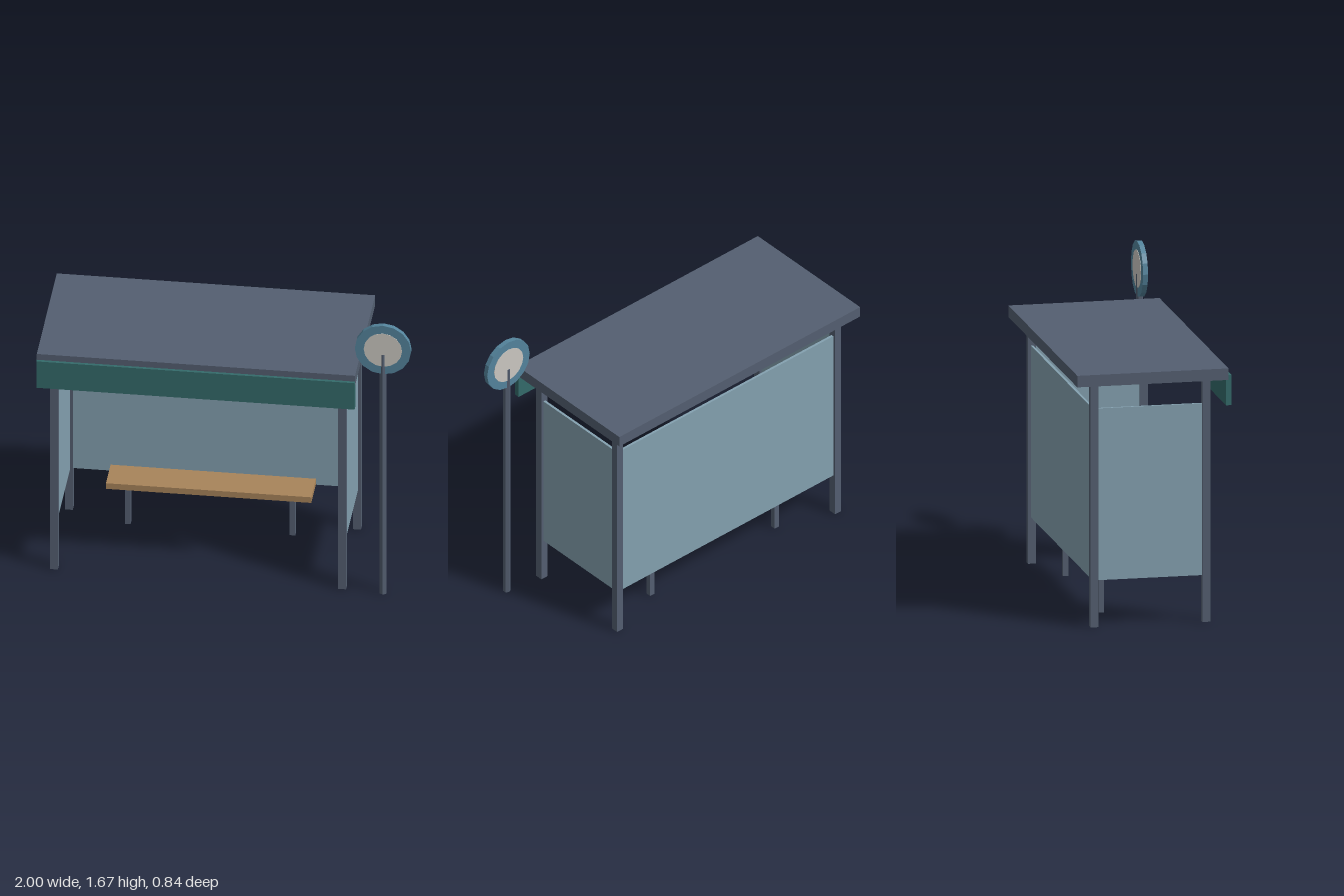
import * as THREE from 'three';

const material = (name, color) => {
  const m = new THREE.MeshStandardMaterial({ color });
  m.name = name;
  return m;
};

export function createModel() {
  const metal = material('slate metal', 0x545f71);
  const glass = material('pale blue panel', 0x84a1b0);
  const green = material('dark green', 0x346a6a);
  const wood = material('bench wood', 0xa8845a);
  const blue = material('sign blue', 0x54849c);
  const grey = material('sign grey', 0xcbc8c2);

  const model = new THREE.Group();
  model.name = 'busShelter';

  const add = (name, geometry, mat, x, y, z) => {
    const mesh = new THREE.Mesh(geometry, mat);
    mesh.name = name;
    mesh.position.set(x, y, z);
    model.add(mesh);
    return mesh;
  };
  // Box given by its lower and upper limits on each axis
  const box = (name, mat, [x0, x1], [y0, y1], [z0, z1]) =>
    add(name, new THREE.BoxGeometry(x1 - x0, y1 - y0, z1 - z0), mat,
      (x0 + x1) / 2, (y0 + y1) / 2, (z0 + z1) / 2);
  const around = (c, size) => [c - size / 2, c + size / 2];

  // Roof and front fascia
  box('roof', metal, [-1, 0.707], [1.328, 1.391], [-0.42, 0.403]);
  box('fascia', green, [-1, 0.707], [1.19, 1.355], [0.39, 0.42]);

  // Corner posts
  const postX = [-0.919, 0.626], postZ = [-0.313, 0.296], post = 0.043;
  for (const x of postX)
    for (const z of postZ)
      box('cornerPost', metal, around(x, post), [0, 1.33], around(z, post));

  // Back and side panels, set between the posts
  const panelY = [0.253, 1.19], panel = 0.014;
  box('backPanel', glass, postX, panelY, around(postZ[0], panel));
  for (const x of postX) box('sidePanel', glass, around(x, panel), panelY, postZ);

  // Bench
  box('benchSeat', wood, [-0.695, 0.406], [0.262, 0.297], [-0.295, -0.105]);
  for (const x of [-0.589, 0.294])
    box('benchLeg', metal, around(x, 0.03), [0, 0.263], around(-0.202, 0.028));

  // Stop sign: six-sided pole, rim disc and a slightly thicker face disc
  const signX = 0.848, signY = 1.524, signZ = 0.325;
  const faceted = (r, h, sides) =>
    new THREE.CylinderGeometry(r, r, h, sides).toNonIndexed();
  const flat = (geometry) => { geometry.computeVertexNormals(); return geometry; };
  add('signPole', flat(faceted(0.02, 1.495, 6)), metal, signX, 1.495 / 2, signZ);
  add('signRim', flat(faceted(0.151, 0.027, 16)).rotateX(Math.PI / 2), blue, signX, signY, signZ);
  add('signFace', flat(faceted(0.103, 0.031, 16)).rotateX(Math.PI / 2), grey, signX, signY, signZ);

  return model;
}
